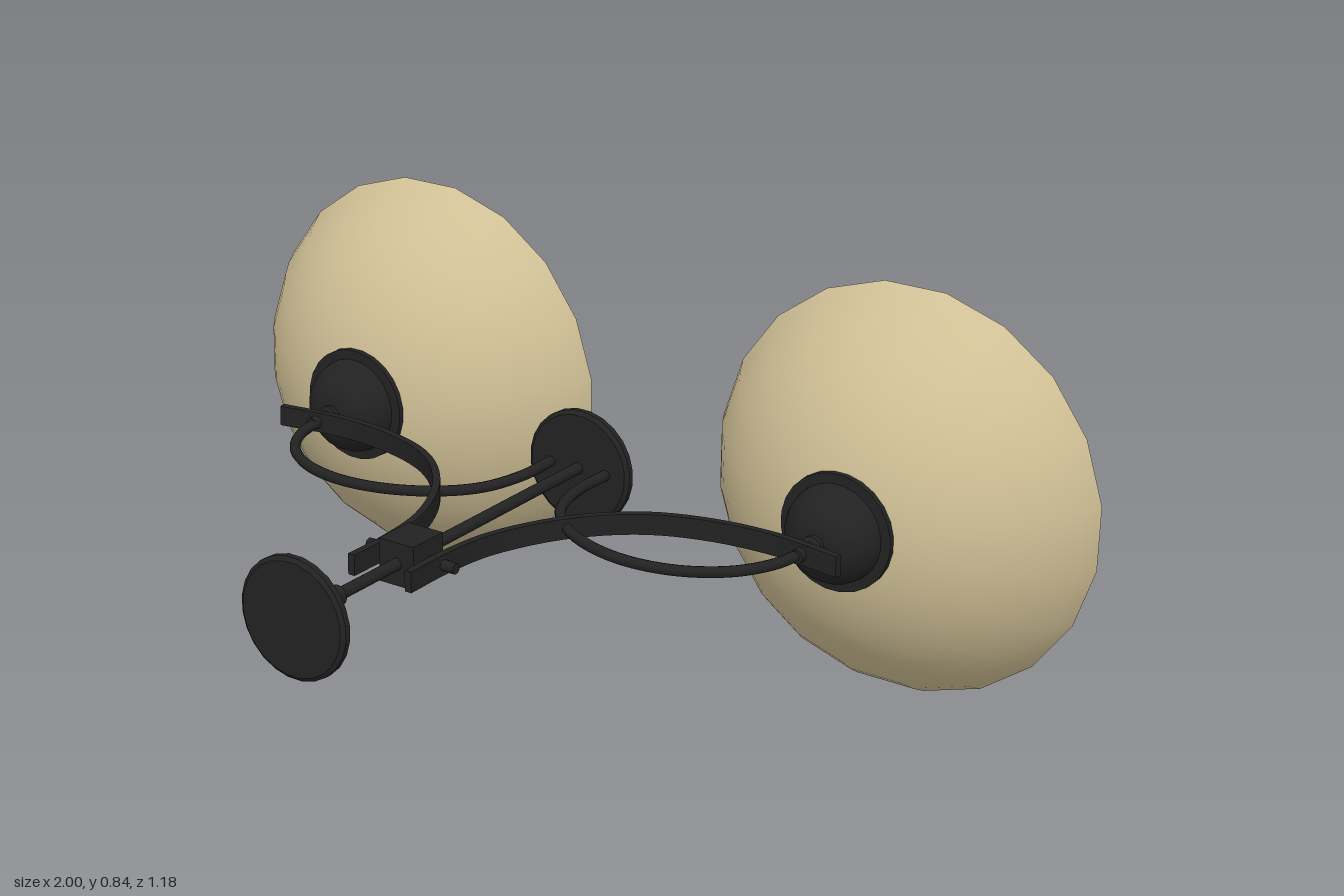
import * as THREE from 'three';
import { toCreasedNormals } from 'three/addons/utils/BufferGeometryUtils.js';

const metal = new THREE.MeshStandardMaterial({ color: 0x222222 });
const glass = new THREE.MeshStandardMaterial({ color: 0xcfbf95 });
const grey = new THREE.MeshStandardMaterial({ color: 0xcccccc });

const v2 = ([x, y]) => new THREE.Vector2(x, y);
const v3 = ([x, y]) => new THREE.Vector3(x, y, 0);

function add(parent, name, geometry, material, x = 0, y = 0, z = 0) {
  const mesh = new THREE.Mesh(geometry, material);
  mesh.name = name;
  mesh.position.set(x, y, z);
  parent.add(mesh);
  return mesh;
}

// Turned part; profile is [radius, height] from bottom to top
function turned(profile, sides = 24, crease = 0.6) {
  return toCreasedNormals(new THREE.LatheGeometry(profile.map(v2), sides, Math.PI / sides), crease);
}

// Flat bar of even thickness following a curve, centred in depth
function strap(points, thickness, width) {
  const curve = new THREE.CatmullRomCurve3(points.map(v3));
  const outer = [], inner = [];
  const n = 36;
  for (let i = 0; i <= n; i++) {
    const p = curve.getPoint(i / n), t = curve.getTangent(i / n);
    const ox = -t.y * thickness / 2, oy = t.x * thickness / 2;
    outer.push(new THREE.Vector2(p.x + ox, p.y + oy));
    inner.unshift(new THREE.Vector2(p.x - ox, p.y - oy));
  }
  const g = new THREE.ExtrudeGeometry(new THREE.Shape([...outer, ...inner]), { depth: width, bevelEnabled: false });
  g.translate(0, 0, -width / 2);
  return toCreasedNormals(g, 0.6);
}

// Thin spherical bowl, open at the top
function bowl() {
  const R = 0.466, cy = 0.785, top = 0.59, wall = 0.01;
  const arc = (r, from) => {
    const end = Math.acos((cy - top) / r), pts = [];
    for (let i = 0; i <= 12; i++) {
      const a = from + (end - from) * i / 12;
      pts.push([r * Math.sin(a), cy - r * Math.cos(a)]);
    }
    return pts;
  };
  return turned([...arc(R, 0), ...arc(R - wall, 0).reverse()], 20, 0.8);
}

export function createModel() {
  const model = new THREE.Group();
  model.name = 'twoArmLamp';

  // Modelled upright, then laid on its back
  const lamp = new THREE.Group();
  lamp.name = 'lamp';
  lamp.rotation.x = -Math.PI / 2;
  lamp.position.y = 0.424;
  model.add(lamp);

  // Central stem with a matching cone at each end
  const cone = turned([
    [0, 0], [0.112, 0], [0.12, 0.006], [0.12, 0.018], [0.112, 0.024], [0.1, 0.026],
    [0.033, 0.07], [0.024, 0.075], [0.034, 0.08], [0.034, 0.085], [0.02, 0.09], [0.02, 0.134], [0, 0.134],
  ]);
  add(lamp, 'bottomCone', cone, metal, 0, -0.59);
  add(lamp, 'topCone', cone, metal, 0, 0.306);
  add(lamp, 'stem', new THREE.CylinderGeometry(0.012, 0.012, 0.84, 16), metal, 0, -0.08);

  // Clamp block and the pin through both straps
  add(lamp, 'clampBlock', new THREE.BoxGeometry(0.08, 0.09, 0.087), metal, 0, -0.239);
  add(lamp, 'clampPin', new THREE.CylinderGeometry(0.011, 0.011, 0.204, 12), metal, 0, -0.236).rotation.z = Math.PI / 2;

  const cup = turned([
    [0, 0.18], [0.014, 0.18], [0.014, 0.23], [0.022, 0.235], [0.022, 0.245], [0.045, 0.246], [0.068, 0.26],
    [0.085, 0.278], [0.096, 0.3], [0.1, 0.322], [0.12, 0.323], [0.12, 0.335], [0, 0.335],
  ]);
  const shade = bowl();
  const bulb = turned([
    [0, 0.32], [0.027, 0.32], [0.027, 0.375], [0.034, 0.39], [0.048, 0.406], [0.057, 0.425], [0.06, 0.446],
    [0.056, 0.468], [0.045, 0.487], [0.025, 0.501], [0, 0.506],
  ], 20, 0.9);

  for (const s of [1, -1]) {
    const arm = new THREE.Group();
    arm.name = s > 0 ? 'leftArm' : 'rightArm';
    lamp.add(arm);
    const side = (pts) => pts.map(([x, y]) => [x * s, y]);

    // Flat strap sweeping from the clamp out past the cup
    add(arm, 'strap', strap(side([
      [0.066, -0.335], [0.067, -0.22], [0.085, -0.1], [0.155, 0.045],
      [0.26, 0.148], [0.38, 0.196], [0.52, 0.21], [0.665, 0.19],
    ]), 0.015, 0.042), metal);

    // Round tube dipping from the top cone and rising to the cup
    const path = new THREE.CatmullRomCurve3(side([
      [0.066, 0.31], [0.066, 0.21], [0.095, 0.11], [0.16, 0.04], [0.25, -0.006], [0.345, -0.02],
      [0.44, 0], [0.52, 0.055], [0.565, 0.13], [0.58, 0.21],
    ]).map(v3));
    add(arm, 'curvedTube', new THREE.TubeGeometry(path, 48, 0.011, 10), metal);

    // Cup, shade and bulb
    add(arm, 'cup', cup, metal, 0.58 * s);
    add(arm, 'shade', shade, glass, 0.58 * s);
    add(arm, 'bulb', bulb, grey, 0.58 * s);
  }
  return model;
}
